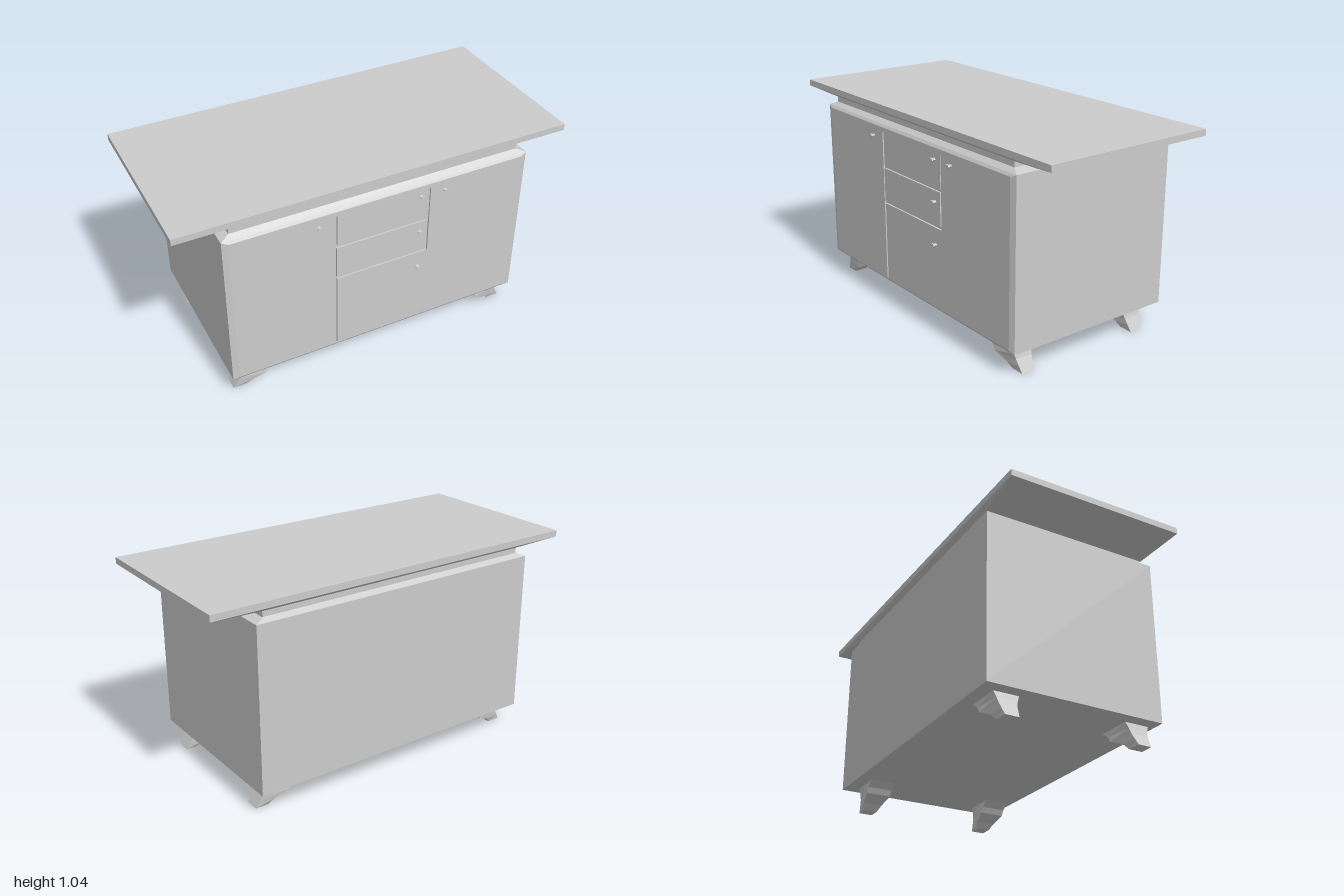
import * as THREE from 'three';

const material = new THREE.MeshStandardMaterial({ color: 0xcccccc, flatShading: true });

// Joins four-cornered rings, listed from bottom to top, into a flat-sided solid
function loft(rings, caps = true) {
  const pos = [];
  const quad = (a, b, c, d) => pos.push(...a, ...b, ...c, ...a, ...c, ...d);
  for (let k = 0; k < rings.length - 1; k++) {
    const lo = rings[k], hi = rings[k + 1];
    for (let i = 0; i < 4; i++) {
      const j = (i + 1) % 4;
      quad(lo[i], lo[j], hi[j], hi[i]);
    }
  }
  if (caps) {
    const [a, b, c, d] = rings[0];
    quad(d, c, b, a);
    quad(...rings[rings.length - 1]);
  }
  const geo = new THREE.BufferGeometry();
  geo.setAttribute('position', new THREE.Float32BufferAttribute(pos, 3));
  geo.computeVertexNormals();
  return geo;
}

// Rectangle at height y, from z0 to z1 and -x to x
const rect = (y, x, z0, z1) => [[x, y, z1], [x, y, z0], [-x, y, z0], [-x, y, z1]];

const polygon = (points, Type = THREE.Shape) =>
  new Type(points.map(([x, y]) => new THREE.Vector2(x, y)));

export function createModel() {
  const model = new THREE.Group();
  model.name = 'sideboard';
  const add = (name, geo, x = 0, y = 0, z = 0) => {
    const mesh = new THREE.Mesh(geo, material);
    mesh.name = name;
    mesh.position.set(x, y, z);
    model.add(mesh);
    return mesh;
  };

  // Cabinet with a bevelled shoulder, recessed neck and wide tabletop
  add('cabinet', loft([
    rect(0.12, 0.785, -0.47, 0.44),
    rect(0.95, 0.785, -0.47, 0.44),
    rect(0.968, 0.74, -0.445, 0.415),
    rect(0.995, 0.74, -0.445, 0.415),
  ]));
  add('tabletop', loft([
    rect(0.995, 0.74, -0.445, 0.415),
    rect(1.013, 1, -0.47, 0.44),
    rect(1.045, 1, -0.47, 0.44),
  ]));

  // Raised front with one branching groove that outlines doors and drawers
  const front = polygon([[-0.755, 0.133], [0.755, 0.133], [0.755, 0.937], [-0.755, 0.937]]);
  front.holes.push(polygon([
    [-0.246, 0.137], [-0.236, 0.137], [-0.236, 0.546], [0.251, 0.546], [0.251, 0.913],
    [0.246, 0.913], [0.246, 0.748], [-0.236, 0.748], [-0.236, 0.913], [-0.246, 0.913],
  ], THREE.Path));
  const depth = { depth: 0.009, bevelEnabled: false };
  add('frontPanel', new THREE.ExtrudeGeometry(front, depth), 0, 0, 0.44);
  const drawer = polygon([[-0.239, 0.561], [0.242, 0.561], [0.242, 0.73], [-0.239, 0.73]]);
  add('middleDrawer', new THREE.ExtrudeGeometry(drawer, depth), 0, 0, 0.44);

  // Shallow chamfer around the raised front
  add('frontChamfer', loft([
    rect(0, 0.785, -0.95, -0.12),
    rect(0.009, 0.755, -0.937, -0.133),
  ], false).rotateX(Math.PI / 2), 0, 0, 0.44);

  // Six-sided waisted knobs
  const profile = [[0, 0], [0.009, 0], [0.005, 0.008], [0.011, 0.014], [0.011, 0.021], [0, 0.021]]
    .map(([r, h]) => new THREE.Vector2(r, h));
  const knob = new THREE.LatheGeometry(profile, 6, Math.PI / 2)
    .rotateX(Math.PI / 2).scale(1.4, 1, 1);
  for (const [x, y] of [[-0.328, 0.88], [0.2, 0.88], [0.328, 0.88], [0.2, 0.675], [0.2, 0.46]])
    add('knob', knob, x, y, 0.449);

  // Splayed feet: height, inner x, outer x, inner half width, outer half width
  const foot = loft([
    [0, 0.70, 0.768, 0.035, 0.035],
    [0.03, 0.675, 0.752, 0.05, 0.04],
    [0.062, 0.605, 0.735, 0.065, 0.045],
    [0.09, 0.588, 0.727, 0.065, 0.052],
    [0.12, 0.548, 0.72, 0.065, 0.063],
  ].map(([y, xi, xo, wi, wo]) => [[xo, y, wo], [xo, y, -wo], [xi, y, -wi], [xi, y, wi]]));
  for (const z of [0.345, -0.338])
    for (const turn of [0, Math.PI]) add('foot', foot, 0, 0, z).rotation.y = turn;

  return model;
}
